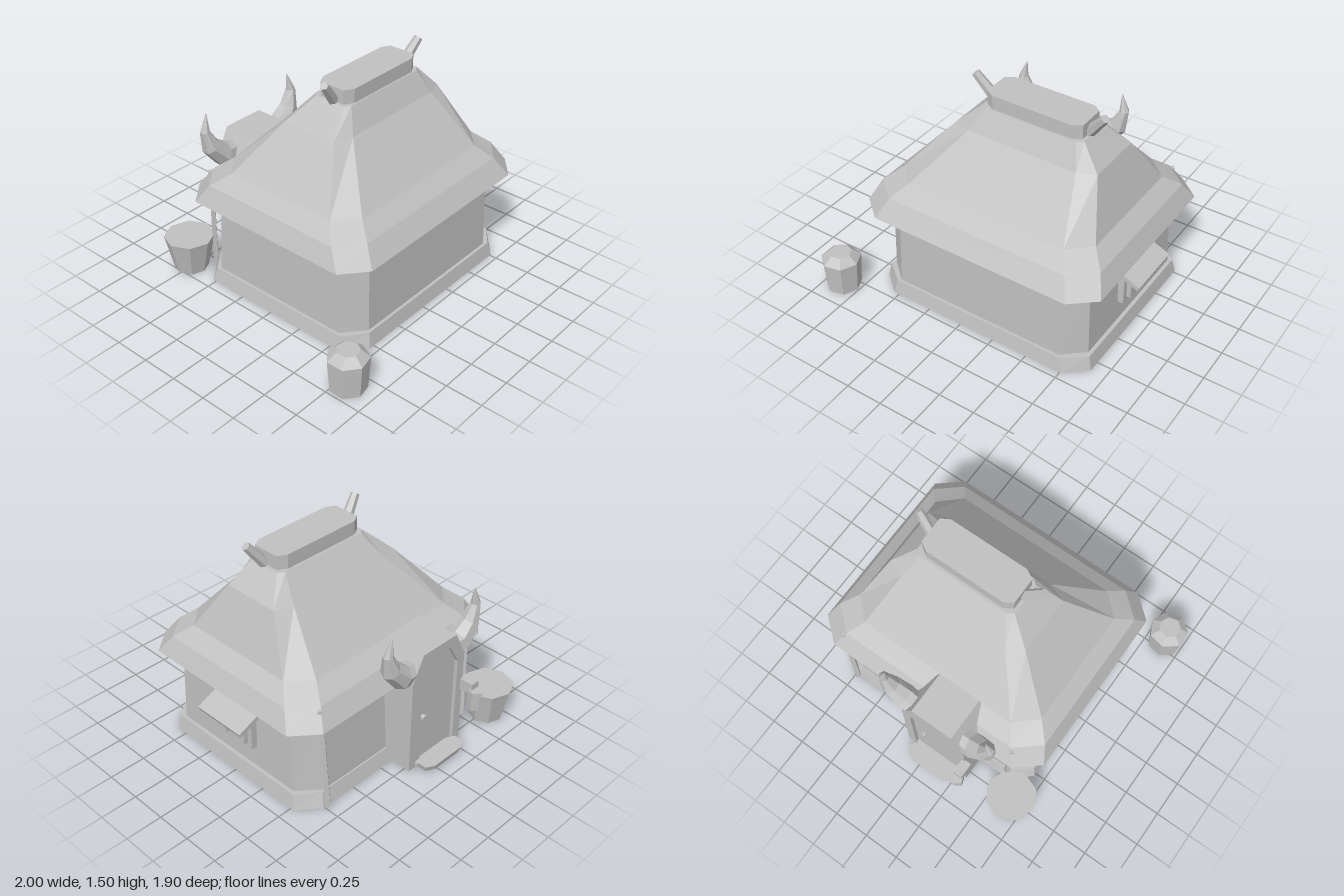
import * as THREE from 'three';

export function createModel() {
  const house = new THREE.Group();
  // Double sided because the plinth and the eaves are open underneath
  const clay = new THREE.MeshStandardMaterial({ color: 0xc0c0c0, side: THREE.DoubleSide });
  clay.name = 'clay grey';
  const V = (x, y, z) => new THREE.Vector3(x, y, z);

  // Adds a faceted mesh
  function add(name, geo, x = 0, y = 0, z = 0) {
    const g = geo.index ? geo.toNonIndexed() : geo;
    g.computeVertexNormals();
    const m = new THREE.Mesh(g, clay);
    m.name = name;
    m.position.set(x, y, z);
    house.add(m);
    return m;
  }
  // Box given by its limits
  const box = (name, x0, x1, y0, y1, z0, z1) =>
    add(name, new THREE.BoxGeometry(x1 - x0, y1 - y0, z1 - z0), (x0 + x1) / 2, (y0 + y1) / 2, (z0 + z1) / 2);

  // Skin over equal-length rings, with end caps unless left open
  function loft(rings, capped = true) {
    const p = [];
    const tri = (a, b, c) => p.push(...a.toArray(), ...b.toArray(), ...c.toArray());
    const n = rings[0].length, last = rings[rings.length - 1];
    for (let r = 0; r < rings.length - 1; r++) {
      for (let i = 0; i < n; i++) {
        const j = (i + 1) % n, a = rings[r], b = rings[r + 1];
        tri(a[i], a[j], b[j]);
        tri(a[i], b[j], b[i]);
      }
    }
    for (let i = 1; capped && i < n - 1; i++) {
      tri(rings[0][0], rings[0][i + 1], rings[0][i]);
      tri(last[0], last[i], last[i + 1]);
    }
    const g = new THREE.BufferGeometry();
    g.setAttribute('position', new THREE.Float32BufferAttribute(p, 3));
    return g;
  }
  // Rectangle with cut corners at height y
  const ring = ([y, x0, x1, z0, z1, cx, cz]) => [
    V(x1, y, z1 - cz), V(x1, y, z0 + cz), V(x1 - cx, y, z0), V(x0 + cx, y, z0),
    V(x0, y, z0 + cz), V(x0, y, z1 - cz), V(x0 + cx, y, z1), V(x1 - cx, y, z1)];
  const stack = (name, rows, capped) => add(name, loft(rows.map(ring), capped));

  // Tapered bar along a path
  function bar(name, path, radii, sides) {
    const rings = path.map((c, k) => {
      const t = path[Math.min(k + 1, path.length - 1)].clone().sub(path[Math.max(k - 1, 0)]).normalize();
      const n = t.clone().cross(V(0, 0, 1)).normalize(), b = t.clone().cross(n);
      return Array.from({ length: sides }, (_, i) => {
        const a = i / sides * Math.PI * 2;
        return c.clone().addScaledVector(n, radii[k] * Math.cos(a)).addScaledVector(b, radii[k] * Math.sin(a));
      });
    });
    return add(name, loft(rings));
  }

  // Hollow plinth, walls with the floor, open roof shell and ridge cap
  const wallFoot = [0.1, -0.64, 0.855, -0.6, 0.66, 0.14, 0.12];
  stack('plinth', [
    [0, -0.68, 0.9, -0.64, 0.7, 0.14, 0.12],
    [0.1, -0.66, 0.88, -0.61, 0.68, 0.14, 0.11],
    wallFoot], false);
  stack('walls', [wallFoot, [0.74, -0.622, 0.837, -0.565, 0.642, 0.14, 0.115]]);
  stack('roof', [
    [0.64, -0.755, 0.965, -0.69, 0.755, 0.16, 0.135],
    [0.765, -0.7, 0.905, -0.61, 0.67, 0.16, 0.135],
    [0.85, -0.6, 0.81, -0.5, 0.565, 0.14, 0.13],
    [1.18, -0.325, 0.685, -0.21, 0.275, 0.12, 0.045],
    [1.33, -0.165, 0.55, -0.085, 0.195, 0.04, 0.03]], false);
  stack('ridgeCap', [
    [1.33, -0.145, 0.53, -0.068, 0.185, 0.06, 0.035],
    [1.425, -0.145, 0.53, -0.068, 0.185, 0.06, 0.035]]);
  stack('roofTop', [
    [1.32, -0.165, 0.55, -0.085, 0.195, 0.04, 0.03],
    [1.33, -0.165, 0.55, -0.085, 0.195, 0.04, 0.03]]);

  // Crossed ridge poles
  for (const s of [-1, 1])
    bar('ridgePole', [V(0.19 + s * 0.34, 1.34, 0.07), V(0.19 + s * 0.455, 1.485, 0.1)], [0.038, 0.028], 6);

  // Leaning corner posts just piercing the eaves
  for (const [xt, xb] of [[0.76, 0.73], [-0.555, -0.53]])
    bar('cornerPost', [V(xb, 0.01, -0.65), V(xt, 0.75, -0.618)], [0.022, 0.02], 4);

  // Porch with arched frame and door, on the back wall
  const cx = -0.075;
  const arch = (w, t, y0, y1, y2) => [[-w, y0], [w, y0], [w, y1], [t, y2], [-t, y2], [-w, y1]]
    .map(([x, y]) => new THREE.Vector2(cx + x, y));
  const outer = arch(0.24, 0.15, 0.02, 0.7, 0.872);
  const inner = arch(0.18, 0.1, 0.03, 0.66, 0.8);
  const slab = (s, depth) => new THREE.ExtrudeGeometry(s, { depth, bevelEnabled: false });
  add('porch', slab(new THREE.Shape(outer), 0.255), 0, 0, -0.76);
  const frame = new THREE.Shape(outer);
  frame.holes.push(new THREE.Path(inner));
  add('doorFrame', slab(frame, 0.04), 0, 0, -0.8);
  add('door', slab(new THREE.Shape(inner), 0.02), 0, 0, -0.775);
  const knob = add('doorKnob', new THREE.CylinderGeometry(0.022, 0.022, 0.03, 6), 0.03, 0.37, -0.785);
  knob.rotation.x = Math.PI / 2;
  stack('doorstep', [
    [0.03, -0.24, 0.1, -0.91, -0.79, 0.06, 0.03],
    [0.07, -0.255, 0.11, -0.92, -0.79, 0.06, 0.03]]);

  // Horns beside the door arch
  for (const s of [-1, 1]) {
    const path = [[0.16, 0.735, -0.725], [0.27, 0.745, -0.725], [0.365, 0.84, -0.73], [0.4, 0.96, -0.738], [0.375, 1.08, -0.745]]
      .map(([x, y, z]) => V(cx + s * x, y, z));
    bar('horn', path, [0.07, 0.085, 0.064, 0.034, 0.002], 7);
  }

  // Hanging lantern on its bracket
  box('lanternBracket', -0.36, -0.295, 0.42, 0.5, -0.895, -0.79);
  add('lantern', new THREE.CylinderGeometry(0.045, 0.042, 0.13, 5), -0.325, 0.37, -0.893).rotation.y = Math.PI;
  add('lanternCap', new THREE.CylinderGeometry(0.054, 0.054, 0.035, 5), -0.325, 0.437, -0.903).rotation.y = Math.PI;

  // Shuttered window with awning on the left wall
  box('windowFrame', 0.82, 0.89, 0.25, 0.46, -0.155, 0.195);
  for (const [z0, z1] of [[-0.118, 0.02], [0.05, 0.158]])
    box('shutter', 0.88, 0.92, 0.285, 0.435, z0, z1);
  const awning = box('awning', 0.82, 1.0, 0.45, 0.48, -0.175, 0.21);
  awning.rotation.z = -0.4;
  awning.position.x = 0.912;

  // Domed barrel at the front corner
  add('barrel', new THREE.CylinderGeometry(0.133, 0.118, 0.225, 7), -0.875, 0.1125, 0.815).rotation.y = Math.PI / 2;
  add('barrelLid', new THREE.CylinderGeometry(0.075, 0.133, 0.05, 7), -0.875, 0.25, 0.815).rotation.y = Math.PI / 2;

  // Wide tub by the door
  add('tub', new THREE.CylinderGeometry(0.16, 0.115, 0.205, 8), -0.655, 0.1025, -0.76).rotation.y = 0.05;
  add('tubRim', new THREE.CylinderGeometry(0.17, 0.16, 0.04, 8), -0.655, 0.225, -0.76).rotation.y = 0.05;

  return house;
}
